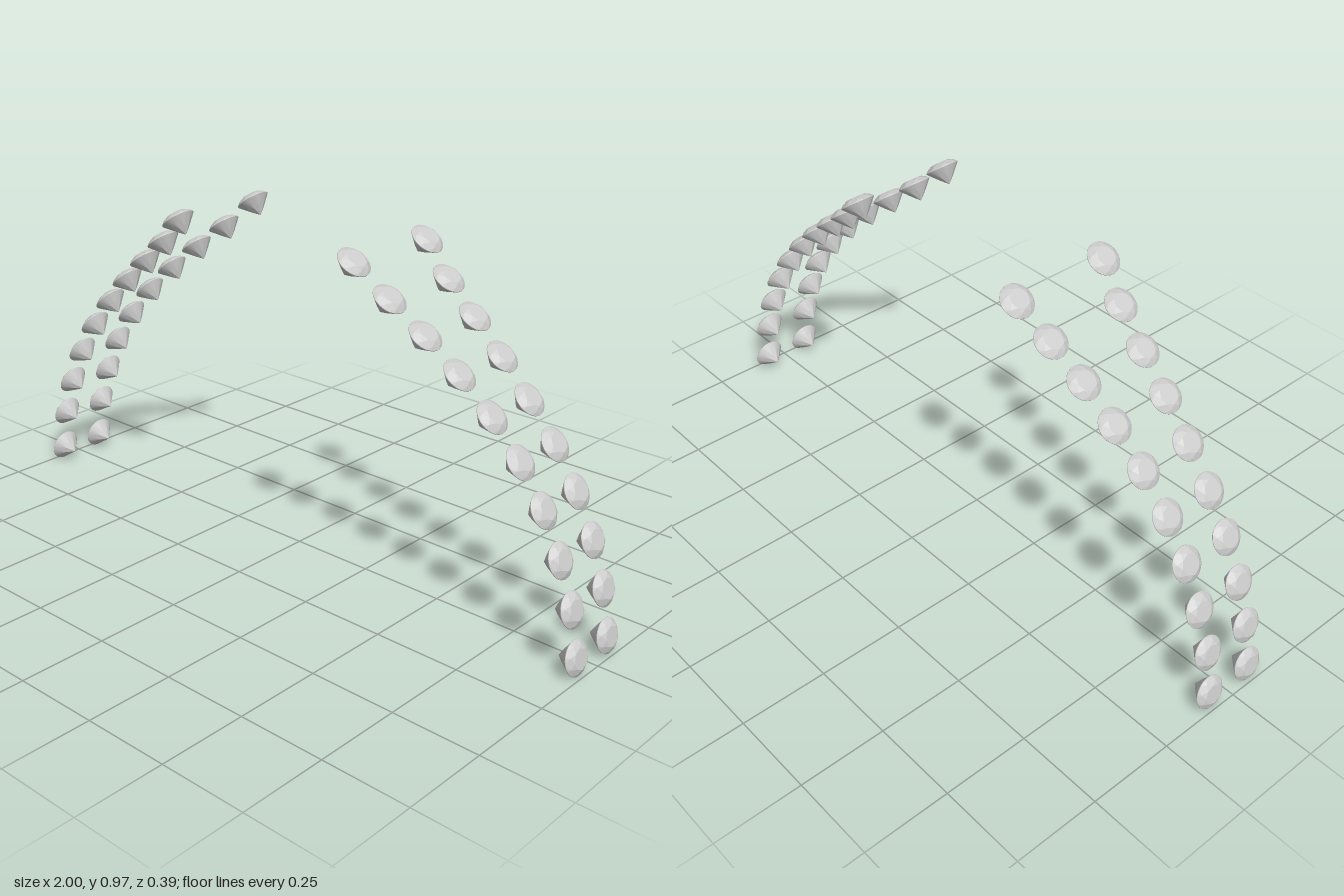
import * as THREE from 'three';

const R = 0.0475;      // girdle radius
const BAND = 0.001;    // half thickness of the girdle
const STEPS = 4;       // girdle segments per main facet

// Round brilliant cut, table up (+y), culet down
function gemGeometry() {
  const pos = [];
  const at = (r, y, k) => {
    const a = k * Math.PI / 4;
    return [r * Math.sin(a), y, r * Math.cos(a)];
  };
  const tri = (a, b, c, flip) => pos.push(...a, ...(flip ? c : b), ...(flip ? b : c));

  // Kite, star and girdle facets between an inner ring and the girdle
  function facets(rIn, yIn, rMid, yGirdle, flip) {
    const run = (R - rMid * Math.cos(Math.PI / 8)) / (R - rIn);
    const yMid = yGirdle + (yIn - yGirdle) * run;   // keeps the kites flat
    for (let k = 0; k < 8; k++) {
      const inner = at(rIn, yIn, k), next = at(rIn, yIn, k + 1);
      const prevMid = at(rMid, yMid, k - 0.5), mid = at(rMid, yMid, k + 0.5);
      tri(inner, prevMid, at(R, yGirdle, k), flip);
      tri(inner, at(R, yGirdle, k), mid, flip);
      if (rIn > 0) {
        tri(inner, mid, next, flip);
        tri([0, yIn, 0], inner, next, flip);
      }
      for (let s = 0; s < STEPS; s++) {
        tri(mid, at(R, yGirdle, k + s / STEPS), at(R, yGirdle, k + (s + 1) / STEPS), flip);
      }
    }
  }
  facets(0.028, 0.015, 0.04, BAND, false);   // crown and table
  facets(0, -0.05, 0.02, -BAND, true);       // pavilion

  // Girdle band
  for (let s = 0; s < 8 * STEPS; s++) {
    const a = s / STEPS, b = (s + 1) / STEPS;
    tri(at(R, BAND, a), at(R, -BAND, a), at(R, -BAND, b), false);
    tri(at(R, BAND, a), at(R, -BAND, b), at(R, BAND, b), false);
  }

  const geo = new THREE.BufferGeometry();
  geo.setAttribute('position', new THREE.Float32BufferAttribute(pos, 3));
  geo.computeVertexNormals();
  return geo;
}

// Gem centres along one row: x, y, z and upward tilt of the table in degrees
const ROW = [
  [0.978, 0.048, 0.072, 12],
  [0.957, 0.174, 0.072, 17],
  [0.916, 0.294, 0.073, 23],
  [0.860, 0.409, 0.073, 30],
  [0.788, 0.514, 0.075, 37],
  [0.703, 0.610, 0.080, 43],
  [0.609, 0.698, 0.090, 48],
  [0.511, 0.779, 0.103, 52],
  [0.411, 0.856, 0.121, 53],
  [0.317, 0.938, 0.148, 52],
];

export function createModel() {
  const model = new THREE.Group();
  model.name = 'gemRows';
  const geo = gemGeometry();
  const material = new THREE.MeshStandardMaterial({ color: 0xcccccc, flatShading: true });

  // Four mirrored rows of gems, tables facing outward
  for (const sx of [1, -1]) {
    for (const sz of [1, -1]) {
      const row = new THREE.Group();
      row.name = (sx > 0 ? 'left' : 'right') + (sz > 0 ? 'Front' : 'Back') + 'Row';
      ROW.forEach(([x, y, z, tilt], i) => {
        const gem = new THREE.Mesh(geo, material);
        gem.name = 'gem' + (i + 1);
        gem.position.set(sx * x, y, sz * z);
        gem.rotation.z = -sx * THREE.MathUtils.degToRad(90 - tilt);
        row.add(gem);
      });
      model.add(row);
    }
  }
  return model;
}
